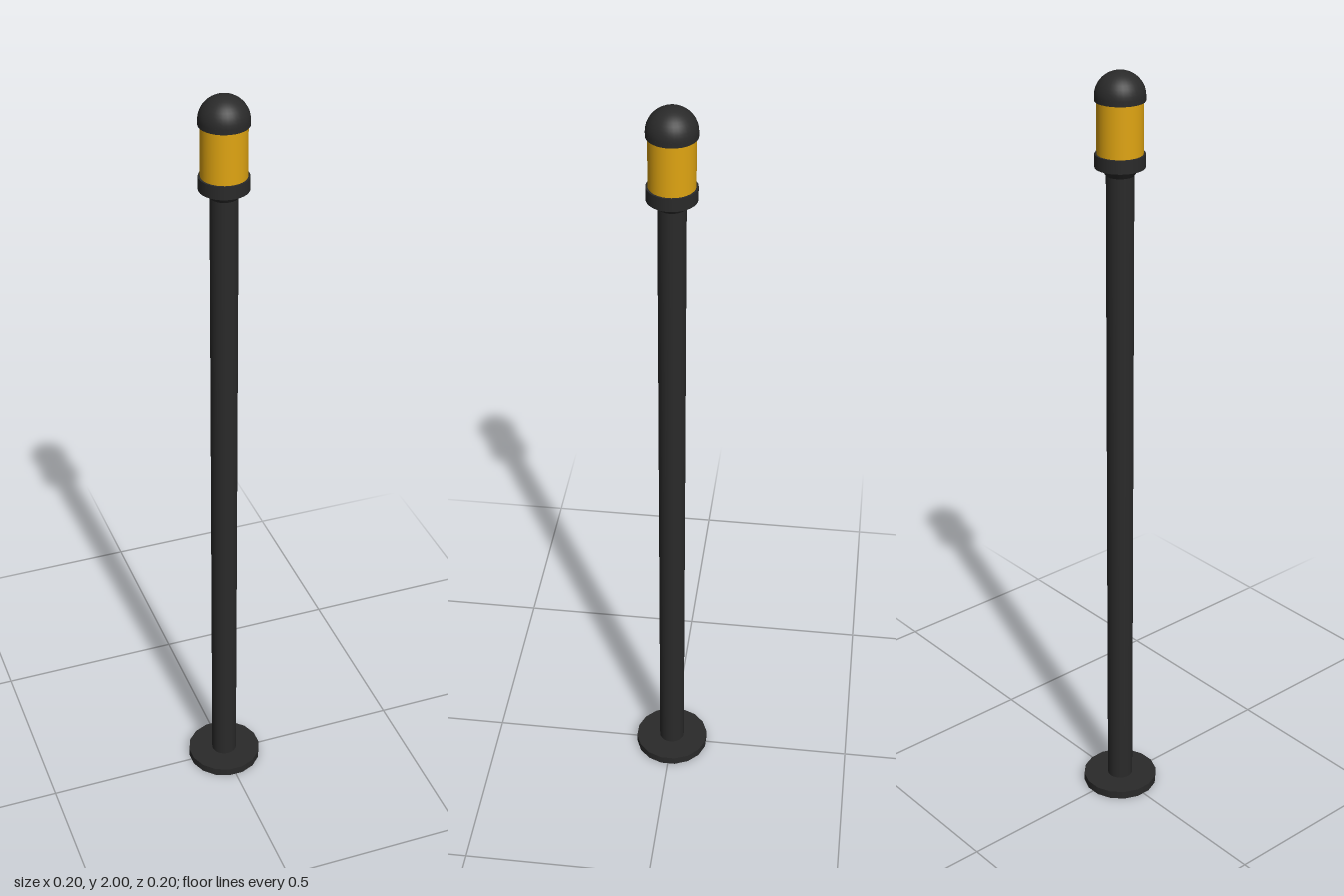
import * as THREE from 'three';

export function createModel() {
  const group = new THREE.Group();
  const darkMetal = new THREE.MeshStandardMaterial({ color: 0x2a2a2a });
  const amberLens = new THREE.MeshStandardMaterial({ color: 0xe0a512 });

  const add = (name, geometry, material, y = 0) => {
    const mesh = new THREE.Mesh(geometry, material);
    mesh.name = name;
    mesh.position.y = y;
    group.add(mesh);
  };
  // Cylinder running from y0 to y1
  const column = (name, rTop, rBottom, y0, y1, sides, material) => {
    const geometry = new THREE.CylinderGeometry(rTop, rBottom, y1 - y0, sides);
    geometry.rotateY(Math.PI / sides);
    add(name, geometry, material, (y0 + y1) / 2);
  };

  // Ground plate and post
  column('basePlate', 0.1, 0.1, 0, 0.022, 16, darkMetal);
  column('pole', 0.034, 0.034, 0.022, 1.76, 24, darkMetal);

  // Lamp seat: short flare, then a straight collar
  column('collarFlare', 0.048, 0.034, 1.75, 1.77, 32, darkMetal);
  column('collar', 0.061, 0.061, 1.77, 1.803, 32, darkMetal);

  // Amber lens
  column('lens', 0.056, 0.056, 1.803, 1.93, 32, amberLens);

  // Domed cap: low rim under a nearly hemispherical top
  column('capRim', 0.061, 0.061, 1.93, 1.942, 32, darkMetal);
  const dome = new THREE.SphereGeometry(0.061, 32, 10, 0, Math.PI * 2, 0, Math.PI / 2);
  dome.scale(1, 0.058 / 0.061, 1);
  add('capDome', dome, darkMetal, 1.942);

  return group;
}
